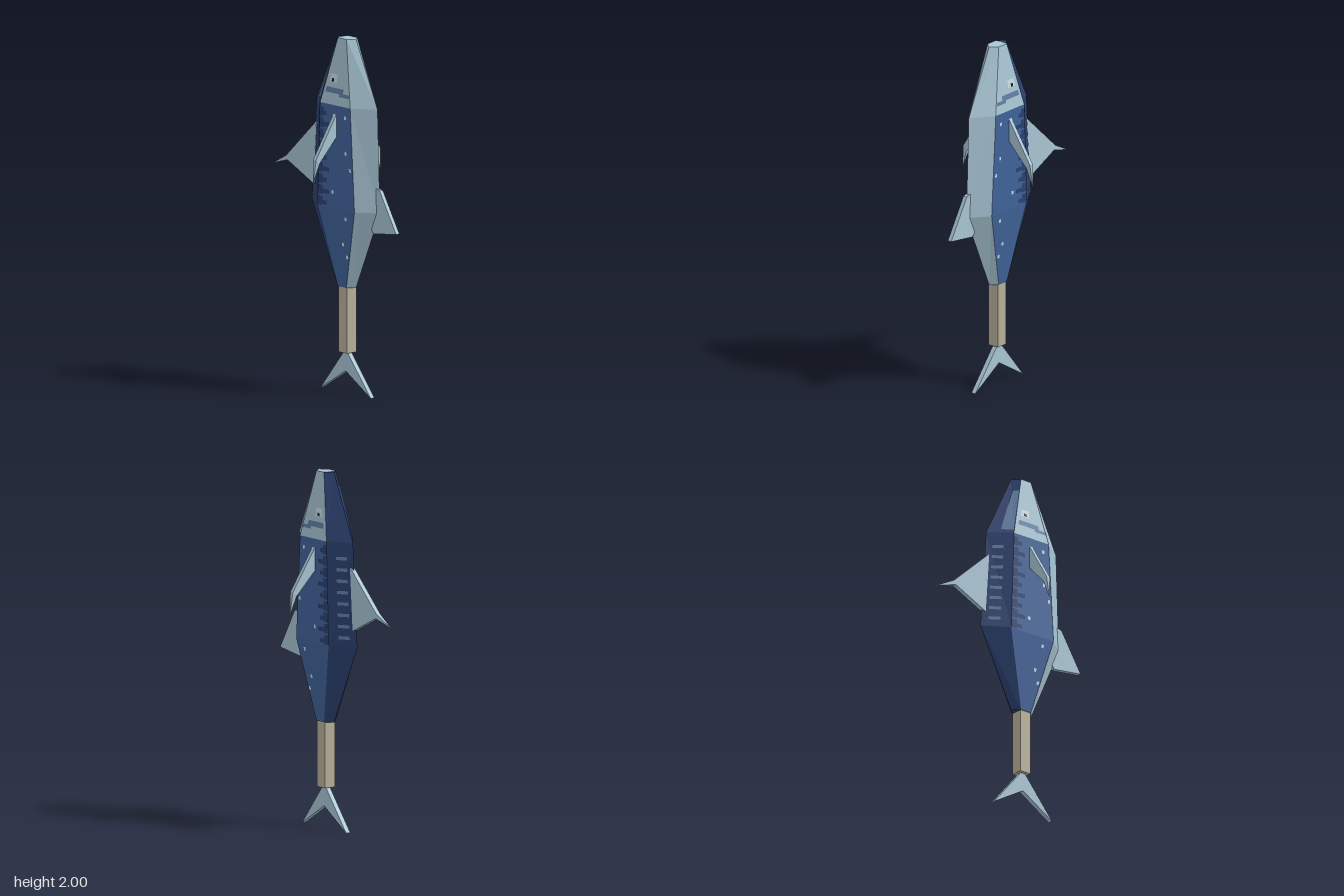
import * as THREE from 'three';

const mat = (name, color, side = THREE.FrontSide) => {
  const m = new THREE.MeshStandardMaterial({ color, side, flatShading: true });
  m.name = name;
  return m;
};

// Hexagonal body sections: height, half width, then z of belly, side front, side back and ridge
const SECTIONS = [
  [0.6, 0.04, 0.175, 0.14, 0.07, 0.03],
  [1.05, 0.09, 0.37, 0.26, -0.04, -0.185],
  [1.63, 0.09, 0.35, 0.225, -0.02, -0.145],
  [2.0, 0.04, 0.175, 0.14, 0.07, 0.03],
];
const AXIS_Z = 0.105;

// Section corners at any height: belly, side front, side back, ridge
function corners(y, s) {
  let i = 0;
  while (i < SECTIONS.length - 2 && y > SECTIONS[i + 1][0]) i++;
  const a = SECTIONS[i], b = SECTIONS[i + 1];
  const t = (y - a[0]) / (b[0] - a[0]);
  const [, w, f, s1, s2, r] = a.map((v, k) => v + (b[k] - v) * t);
  return [[0, f], [s * w, s1], [s * w, s2], [0, r]].map(([x, z]) => new THREE.Vector3(x, y, z));
}

// Flat polygons as triangle fans, each turned away from the given centre
function polygons(list, centre) {
  const pos = [];
  for (const p of list) {
    for (let i = 1; i < p.length - 1; i++) {
      const [a, b, c] = [p[0], p[i], p[i + 1]];
      const n = b.clone().sub(a).cross(c.clone().sub(a));
      const mid = a.clone().add(b).add(c).divideScalar(3);
      const out = n.dot(mid.sub(centre)) > 0;
      for (const v of out ? [a, b, c] : [a, c, b]) pos.push(v.x, v.y, v.z);
    }
  }
  const g = new THREE.BufferGeometry();
  g.setAttribute('position', new THREE.Float32BufferAttribute(pos, 3));
  g.computeVertexNormals();
  return g;
}

// Extruded outline, centred on its thickness
function slab(points, thickness) {
  const shape = new THREE.Shape(points.map(([x, y]) => new THREE.Vector2(x, y)));
  return new THREE.ExtrudeGeometry(shape, { depth: thickness, bevelEnabled: false })
    .translate(0, 0, -thickness / 2);
}

// Squeeze the thickness to nothing wherever the test holds
function sharpen(g, test) {
  const p = g.attributes.position;
  for (let i = 0; i < p.count; i++) if (test(p.getX(i), p.getY(i))) p.setZ(i, 0);
  g.computeVertexNormals();
  return g;
}

export function createModel() {
  const model = new THREE.Group();
  model.name = 'fish';
  const light = mat('pale blue', 0xa8c5d4);
  const blue = mat('blue', 0x40639a);
  const navy = mat('navy', 0x2c4170);
  const steel = mat('steel blue', 0x6080a4);
  const tan = mat('tan', 0xb8b09a);
  const pale = mat('off white', 0xc8dce4);
  const black = mat('black', 0x15181c);
  const add = (name, g, m) => {
    const mesh = new THREE.Mesh(g, m);
    mesh.name = name;
    model.add(mesh);
    return mesh;
  };
  const centre = new THREE.Vector3(0, 1.3, AXIS_Z);

  // Body facets sorted by colour
  const belly = [], flank = [], back = [];
  for (const s of [1, -1]) {
    for (let i = 0; i < 3; i++) {
      const a = corners(SECTIONS[i][0], s), b = corners(SECTIONS[i + 1][0], s);
      const quad = (k) => [a[k], a[k + 1], b[k + 1], b[k]];
      belly.push(quad(0));
      (i === 2 ? belly : flank).push(quad(1));
      back.push(quad(2));
    }
  }
  // End caps with a dark corner towards the ridge
  for (const y of [0.6, 2]) {
    const l = corners(y, 1), r = corners(y, -1);
    belly.push([l[0], l[1], l[2], r[2], r[1]]);
    back.push([l[2], l[3], r[2]]);
  }
  add('bellyAndHead', polygons(belly, centre), light);
  add('flanks', polygons(flank, centre), blue);
  add('back', polygons(back, centre), navy);

  // Painted patch: face 1 is the flank, face 2 the back; u runs from belly side to ridge side
  const patch = (s, face, u0, u1, y0, y1, lift = 0.003) => {
    const at = (u, y) => {
      const c = corners(y, s);
      const p = c[face].clone().lerp(c[face + 1], u);
      p.x += s * lift;
      if (face === 2) p.z -= lift;
      return p;
    };
    return [at(u0, y0), at(u1, y0), at(u1, y1), at(u0, y1)];
  };
  // Flank patch placed by z instead of u
  const flankPatch = (s, z0, z1, y0, y1, lift) => {
    const c = corners((y0 + y1) / 2, s);
    const u = (z) => (c[1].z - z) / (c[1].z - c[2].z);
    return patch(s, 1, u(z0), u(z1), y0, y1, lift);
  };

  const bars = [], dashes = [], spots = [], pupils = [];
  for (const s of [1, -1]) {
    // Dark bars reaching down from the back, pale dashes above them
    for (let i = 0; i < 9; i++) {
      const y = 1.06 + i * 0.063;
      bars.push(flankPatch(s, 0.035 + 0.02 * (i % 2), -0.015, y, y + 0.024));
      bars.push(patch(s, 1, 0.87, 1, y - 0.008, y + 0.045, 0.002));
      if (i < 8) dashes.push(patch(s, 2, 0.35, 0.75, y + 0.03, y + 0.048));
    }
    // Cheek marking and eye
    dashes.push(flankPatch(s, 0.16, 0.02, 1.695, 1.725));
    dashes.push(flankPatch(s, 0.21, 0.13, 1.68, 1.7));
    spots.push(flankPatch(s, 0.1, 0.045, 1.755, 1.8));
    pupils.push(flankPatch(s, 0.08, 0.062, 1.758, 1.776, 0.006));
    // Scattered flecks
    for (const [z, y] of [[0.185, 1.57], [0.19, 1.37], [0.225, 1.28], [0.185, 1.0],
      [0.145, 0.85], [0.17, 0.78], [0.085, 1.14]]) {
      spots.push(flankPatch(s, z + 0.008, z - 0.008, y - 0.01, y + 0.01));
    }
  }
  dashes.push(patch(-1, 2, 0.02, 0.5, 1.65, 1.92));
  add('flankBars', polygons(bars, centre), navy);
  add('steelMarkings', polygons(dashes, centre), steel);
  add('eyePatchesAndFlecks', polygons(spots, centre), pale);
  add('pupils', polygons(pupils, centre), black);

  // Tail stalk
  add('tailStalk', new THREE.BoxGeometry(0.07, 0.37, 0.07).translate(0, 0.415, AXIS_Z), tan);

  // Upright fins, outlined in z and y
  const uprightFin = (name, g) => add(name, g.rotateY(-Math.PI / 2), light);
  uprightFin('tailFin', slab([[0.105, 0.25], [0.31, 0], [0.105, 0.125], [-0.1, 0]], 0.028));
  uprightFin('lowerFin', slab([[0.3, 1.2], [0.38, 1.18], [0.515, 0.955], [0.33, 0.93], [0.27, 1]], 0.024));
  uprightFin('dorsalFin', sharpen(
    slab([[-0.1, 1.5], [-0.14, 1.49], [-0.38, 1.265], [-0.505, 1.2], [-0.37, 1.24], [-0.16, 1.14], [-0.1, 1.16]], 0.026),
    (x) => x < -0.45));

  // Side fins with drooping sharp tips
  for (const s of [1, -1]) {
    const outline = [[0.07, 1.6], [0.09, 1.58], [0.24, 1.345], [0.253, 1.21], [0.215, 1.32], [0.09, 1.45], [0.07, 1.465]];
    const g = sharpen(slab(outline.map(([x, y]) => [s * x, y]), 0.024), (x, y) => y < 1.25);
    add(s > 0 ? 'leftFin' : 'rightFin', g.translate(0, 0, 0.1), light);
  }
  return model;
}
